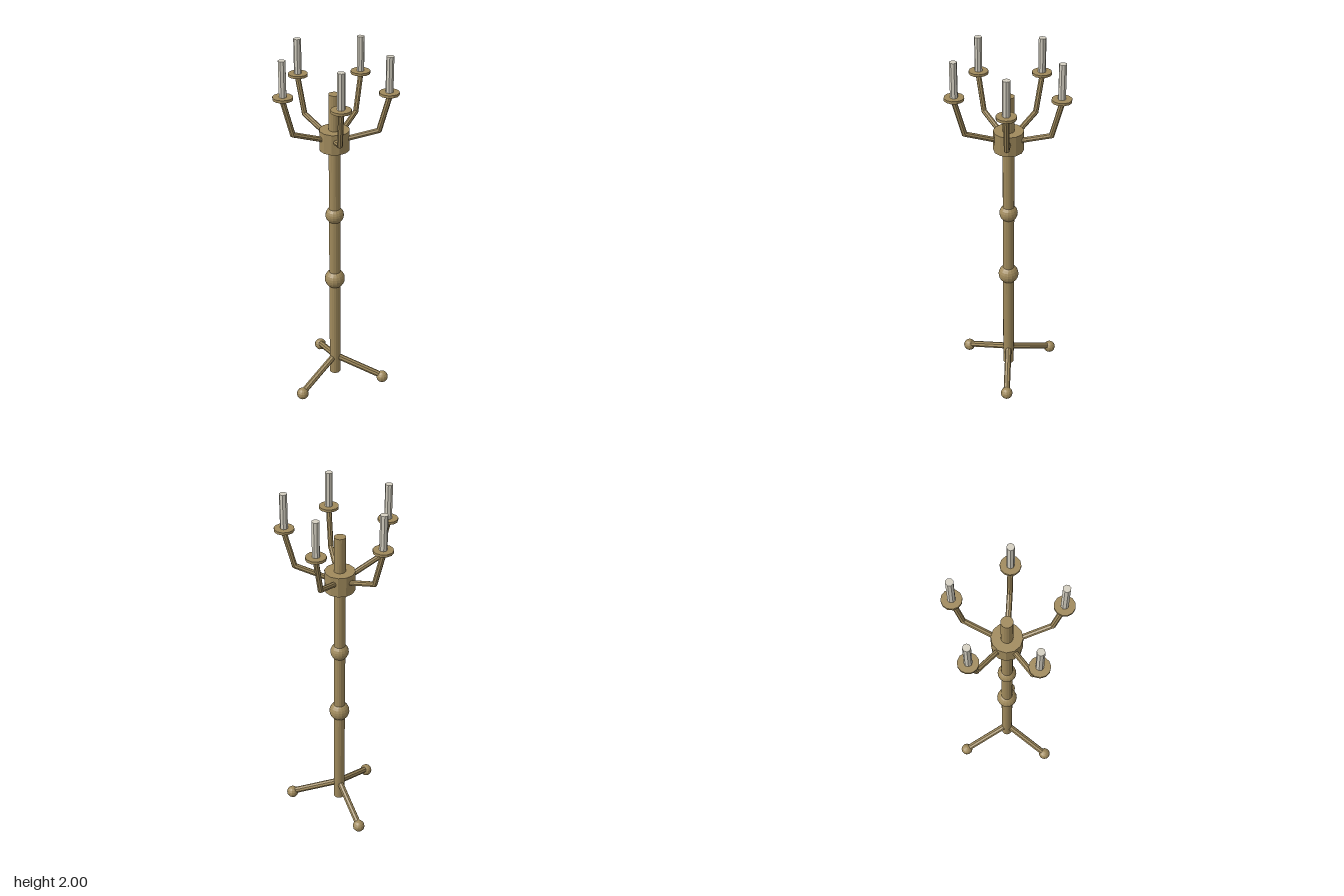
import * as THREE from 'three';

const brass = new THREE.MeshStandardMaterial({ color: 0xa08a5c, flatShading: true });
const wax = new THREE.MeshStandardMaterial({ color: 0xd5d0c2, flatShading: true });

function add(parent, name, geometry, x, y, z, material = brass) {
  const mesh = new THREE.Mesh(geometry, material);
  mesh.name = name;
  mesh.position.set(x, y, z);
  parent.add(mesh);
  return mesh;
}

// Straight rod in the local x-y plane, from (x0, y0) to (x1, y1)
function rod(parent, name, radius, x0, y0, x1, y1) {
  const length = Math.hypot(x1 - x0, y1 - y0);
  const mesh = add(parent, name, new THREE.CylinderGeometry(radius, radius, length, 8),
    (x0 + x1) / 2, (y0 + y1) / 2, 0);
  mesh.rotation.z = Math.atan2(y1 - y0, x1 - x0) - Math.PI / 2;
  return mesh;
}

// Repeats a part around the column
function radial(parent, name, count, build) {
  for (let i = 0; i < count; i++) {
    const part = new THREE.Group();
    part.name = name + (i + 1);
    part.rotation.y = (i / count) * Math.PI * 2;
    build(part);
    parent.add(part);
  }
}

export function createModel() {
  const model = new THREE.Group();
  model.name = 'candelabrum';
  const stand = new THREE.Group();
  stand.name = 'stand';
  stand.position.x = -0.028;
  model.add(stand);

  // Column with two round knops and the hub that carries the arms
  add(stand, 'column', new THREE.CylinderGeometry(0.031, 0.031, 1.74, 16), 0, 0.91, 0);
  add(stand, 'lowerKnop', new THREE.SphereGeometry(0.056, 16, 12), 0, 0.68, 0);
  add(stand, 'upperKnop', new THREE.SphereGeometry(0.05, 16, 12), 0, 1.085, 0);
  add(stand, 'hub', new THREE.CylinderGeometry(0.08, 0.08, 0.11, 12), 0, 1.53, 0);

  // Three sloping legs with ball feet
  radial(stand, 'leg', 3, (leg) => {
    rod(leg, 'legRod', 0.018, 0, 0.15, 0.28, 0.04);
    add(leg, 'ballFoot', new THREE.SphereGeometry(0.034, 12, 8), 0.28, 0.034, 0);
  });

  // Five bent arms, each with a drip pan and a candle
  radial(stand, 'arm', 5, (arm) => {
    rod(arm, 'lowerArm', 0.0145, 0.05, 1.535, 0.232, 1.6);
    rod(arm, 'upperArm', 0.0145, 0.23, 1.595, 0.28, 1.783);
    add(arm, 'dripPan', new THREE.CylinderGeometry(0.052, 0.052, 0.014, 12), 0.28, 1.806, 0);
    add(arm, 'candle', new THREE.CylinderGeometry(0.02, 0.02, 0.188, 8), 0.28, 1.906, 0, wax);
  });

  return model;
}
